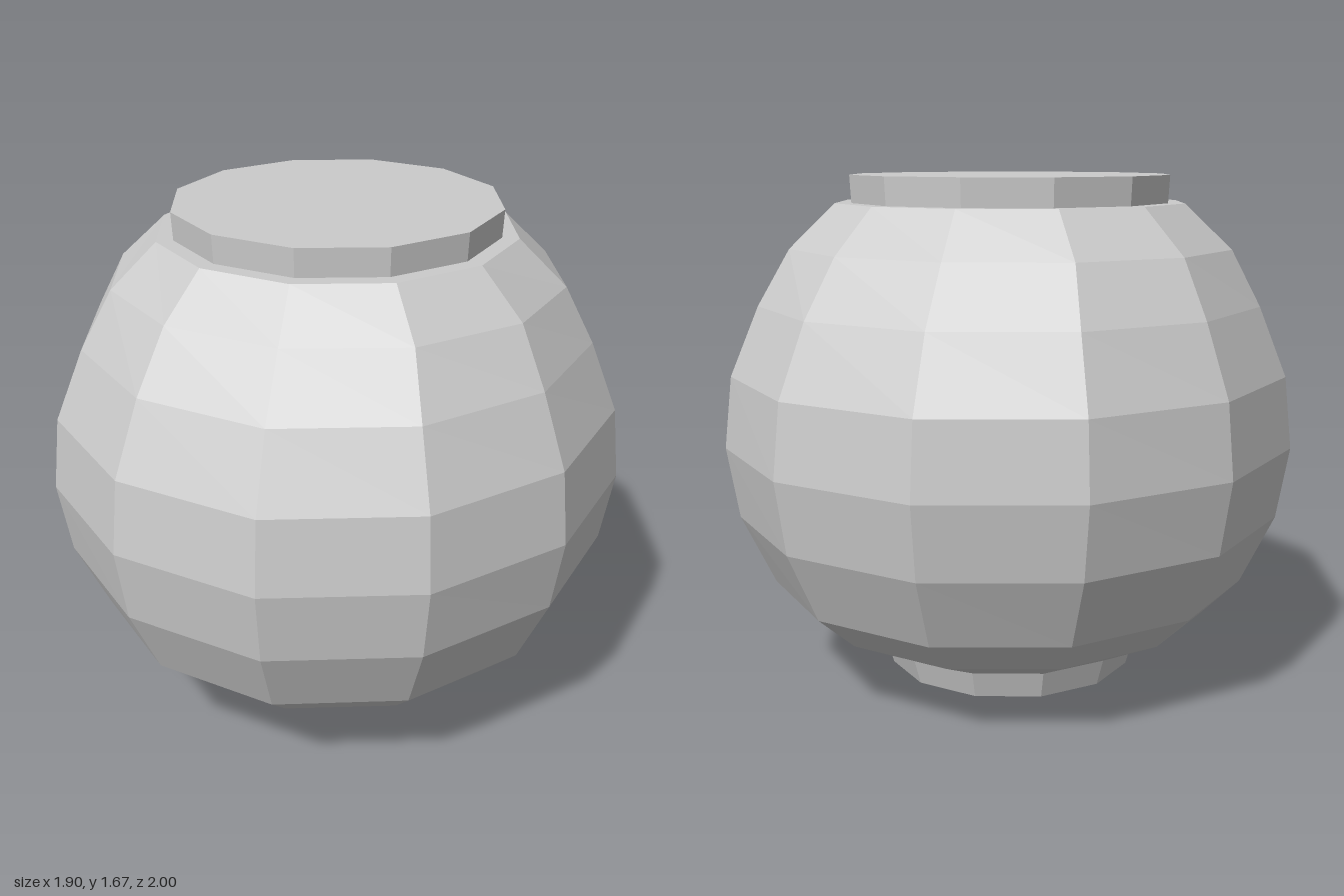
import * as THREE from 'three';

const SIDES = 12;

// Rings of the bowl, bottom to top: [height, half width in x, half depth in z]
const BOWL = [
  [0.09, 0.445, 0.445],
  [0.21, 0.675, 0.71],
  [0.335, 0.8, 0.86],
  [0.565, 0.91, 0.965],
  [0.8, 0.95, 1.0],
  [1.035, 0.925, 0.97],
  [1.26, 0.835, 0.86],
  [1.44, 0.74, 0.715],
  [1.585, 0.585, 0.585],
  [1.585, 0.53, 0.53], // flat shoulder running in to the neck
];

// Twelve-sided lathe whose rings are stretched in z to become ellipses
function ovalLathe(rings) {
  const geometry = new THREE.LatheGeometry(rings.map(([y, rx]) => new THREE.Vector2(rx, y)), SIDES);
  const pos = geometry.attributes.position;
  for (let i = 0; i < pos.count; i++) {
    const [, rx, rz] = rings[i % rings.length];
    pos.setZ(i, pos.getZ(i) * rz / rx);
  }
  geometry.computeVertexNormals();
  return geometry;
}

export function createModel() {
  const group = new THREE.Group();
  group.name = 'roundPot';
  const material = new THREE.MeshStandardMaterial({ color: 0xcccccc, flatShading: true });

  const add = (name, geometry, y = 0) => {
    const mesh = new THREE.Mesh(geometry, material);
    mesh.name = name;
    mesh.position.y = y;
    group.add(mesh);
  };

  // Tapered foot, rounded bowl and flat-topped neck
  add('foot', new THREE.CylinderGeometry(0.445, 0.418, 0.09, SIDES), 0.045);
  add('bowl', ovalLathe(BOWL));
  add('neck', new THREE.CylinderGeometry(0.535, 0.53, 0.09, SIDES), 1.63);

  return group;
}
